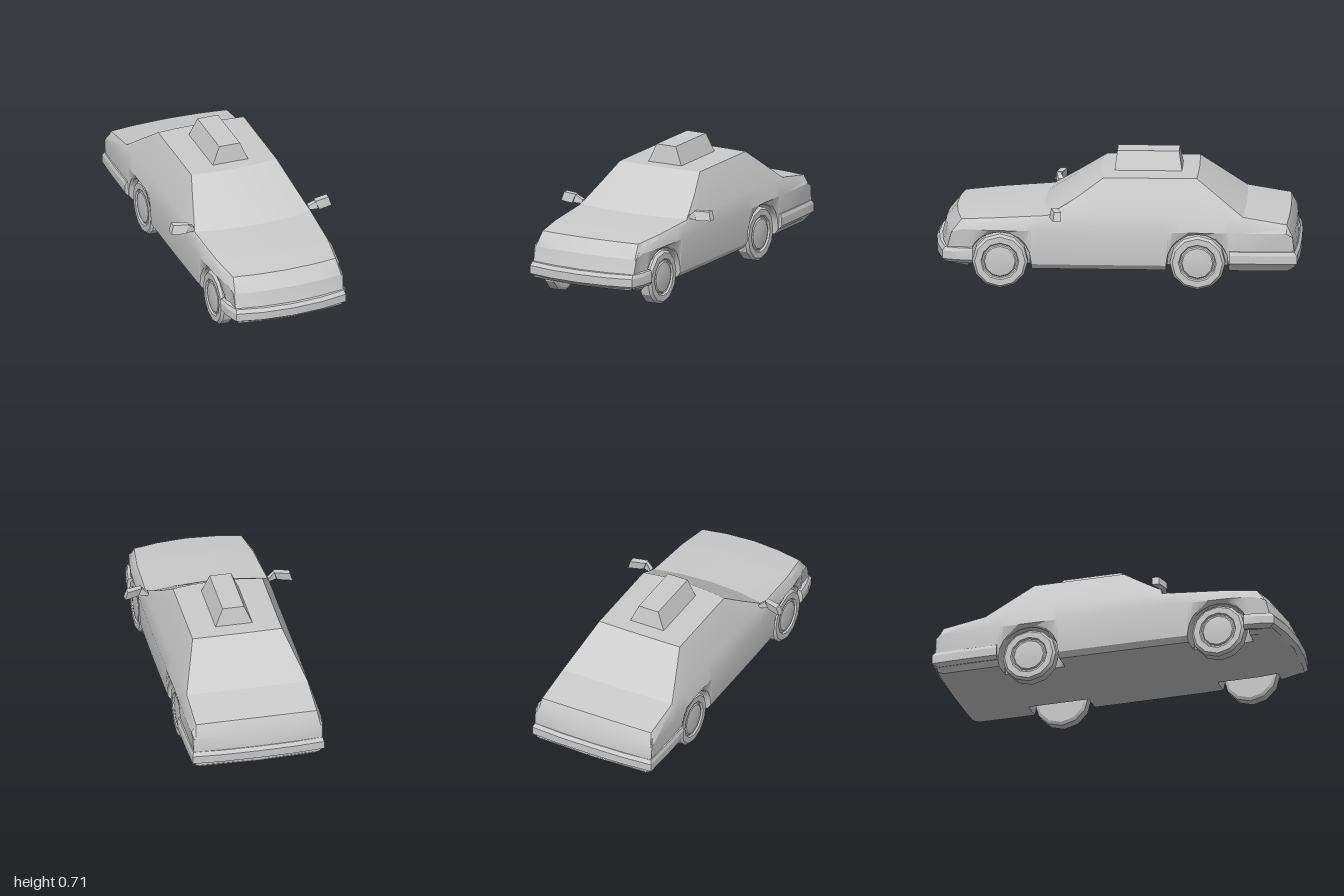
import * as THREE from 'three';
import { toCreasedNormals } from 'three/addons/utils/BufferGeometryUtils.js';

const material = new THREE.MeshStandardMaterial({ color: 0xcccccc });

// Skin a list of equal rings (each counter-clockwise seen from the first one) and cap both ends.
function loft(rings, crease = 0.45) {
  const n = rings[0].length, pos = rings.flat(2), index = [];
  const point = (i) => new THREE.Vector3().fromArray(pos, i * 3);
  const tri = (a, b, c) => {
    const A = point(a), u = point(b).sub(A), v = point(c).sub(A);
    if (u.cross(v).length() > 1e-8) index.push(a, b, c);
  };
  for (let i = 0; i < rings.length - 1; i++) {
    for (let j = 0; j < n; j++) {
      const a = i * n + j, b = i * n + (j + 1) % n;
      tri(a, a + n, b + n);
      tri(a, b + n, b);
    }
  }
  const last = (rings.length - 1) * n;
  for (let j = 1; j < n - 1; j++) {
    tri(0, j, j + 1);
    tri(last, last + j + 1, last + j);
  }
  const g = new THREE.BufferGeometry();
  g.setAttribute('position', new THREE.Float32BufferAttribute(pos, 3));
  g.setIndex(index);
  return toCreasedNormals(g, crease);
}

function part(name, geometry, parent) {
  const mesh = new THREE.Mesh(geometry, material);
  mesh.name = name;
  parent.add(mesh);
  return mesh;
}

const AXLES = [0.64, -0.44], AXLE_Y = 0.155, ARCH = 0.17;

// z, top y, top edge x, top edge y, shoulder x, shoulder y, widest x, floor y
const KEYS = [
  [0.975, 0.2, 0.305, 0.2, 0.31, 0.2, 0.315, 0.14],
  [0.965, 0.23, 0.308, 0.23, 0.31, 0.23, 0.315, 0.135],
  [0.945, 0.31, 0.31, 0.305, 0.315, 0.3, 0.32, 0.13],
  [0.885, 0.385, 0.3, 0.38, 0.312, 0.355, 0.325, 0.12],
  [0.7, 0.402, 0.325, 0.395, 0.337, 0.375, 0.352, 0.11],
  [0.405, 0.415, 0.338, 0.415, 0.345, 0.4, 0.362, 0.11],
  [0.25, 0.517, 0.294, 0.51, 0.343, 0.415, 0.364, 0.11],
  [0.1, 0.61, 0.25, 0.607, 0.341, 0.42, 0.365, 0.11],
  [-0.44, 0.61, 0.25, 0.607, 0.342, 0.42, 0.365, 0.11],
  [-0.7, 0.42, 0.338, 0.415, 0.346, 0.4, 0.366, 0.11],
  [-0.94, 0.383, 0.338, 0.375, 0.348, 0.355, 0.364, 0.11],
  [-0.975, 0.31, 0.345, 0.305, 0.352, 0.3, 0.362, 0.125],
  [-0.985, 0.2, 0.35, 0.2, 0.355, 0.2, 0.36, 0.14],
];

function keyAt(z) {
  let i = 0;
  while (i < KEYS.length - 2 && z < KEYS[i + 1][0]) i++;
  const t = (z - KEYS[i][0]) / (KEYS[i + 1][0] - KEYS[i][0]);
  return KEYS[i].map((v, k) => THREE.MathUtils.lerp(v, KEYS[i + 1][k], t));
}

// Height of a wheel arch at z, or 0 away from the wheels
function archAt(z) {
  for (const c of AXLES) {
    const d = Math.abs(z - c);
    if (d <= ARCH + 1e-6) return AXLE_Y + Math.sqrt(Math.max(0, ARCH * ARCH - d * d));
  }
  return 0;
}

function bodySection(z) {
  const [, top, ex, ey, sx, sy, wide, floor] = keyAt(z);
  const arch = archAt(z);
  const lip = arch ? arch - 0.01 : floor;
  const half = [
    [0, floor], [0.22, floor],
    [0.25, lip], [wide - (arch ? 0.022 : 0.035), lip],
    [wide - 0.012, arch || Math.max(0.14, floor)],
    [wide, Math.min(0.33, top)],
    [sx, sy], [ex, ey], [ex * 0.55, top - (top - ey) * 0.3], [0, top],
  ];
  // Ends and glass bow outwards in plan
  const bow = z > 0 ? 0.38 : -0.1;
  const right = half.map(([x, y], i) =>
    [x, y, i > 6 || z > 0.82 || z < -0.9 ? z - bow * x * x : z]);
  const left = right.slice(1, -1).reverse().map(([x, y, d]) => [-x, y, d]);
  return [...right, ...left];
}

function bodyGeometry() {
  const zs = KEYS.map((k) => k[0]);
  for (const c of AXLES) {
    zs.push(c + ARCH + 0.002, c - ARCH - 0.002);
    for (let i = 0; i <= 10; i++) zs.push(c + ARCH * Math.cos((i / 10) * Math.PI));
  }
  const stations = [...new Set(zs)].sort((a, b) => b - a);
  return loft(stations.map(bodySection), 0.4);
}

// Wrap-around bumper from half a plan path [x, z], centre first
function bumperGeometry(path) {
  const s = Math.sign(path[0][1]);
  const end = Math.abs(path[path.length - 1][1]);
  const mirrored = path.slice(1).map(([x, z]) => [-x, z]);
  const whole = [...path.slice().reverse(), ...mirrored];
  if (s < 0) whole.reverse();
  const at = (x, z, inset, y) =>
    [x * (1 - inset * 1.4), y, s * Math.max(Math.abs(z) - inset, end)];
  return loft(whole.map(([x, z]) => [
    at(x, z, 0.06, 0.228), at(x, z, 0.014, 0.225), at(x, z, 0, 0.205),
    at(x, z, 0, 0.16), at(x, z, 0.03, 0.14), at(x, z, 0.06, 0.14),
  ]), 0.35);
}

// Tyre and hubcap turned about the x axis, outer face towards +x
function turned(profile, sides) {
  const pts = profile.map(([r, x]) => new THREE.Vector2(r, x));
  const g = new THREE.LatheGeometry(pts, sides);
  g.rotateZ(-Math.PI / 2);
  return toCreasedNormals(g, 0.4);
}

export function createModel() {
  const car = new THREE.Group();
  car.name = 'car';
  part('body', bodyGeometry(), car);
  part('frontBumper', bumperGeometry(
    [[0, 0.997], [0.17, 0.986], [0.32, 0.955], [0.343, 0.88], [0.352, 0.79]]), car);
  part('rearBumper', bumperGeometry(
    [[0, -1], [0.2, -0.997], [0.368, -0.985], [0.374, -0.8], [0.374, -0.615]]), car);

  // Roof sign: tapered box
  const signRing = (zBase, zTop) => [
    [-0.105, 0.605, zBase], [0.105, 0.605, zBase], [0.06, 0.71, zTop], [-0.06, 0.71, zTop]];
  part('roofSign', loft([signRing(0.022, 0.008), signRing(-0.348, -0.33)]), car);

  // Wheels
  const tyre = turned([[0, 0.265], [0.135, 0.265], [0.152, 0.275], [0.152, 0.328],
    [0.138, 0.342], [0.104, 0.342], [0.098, 0.332], [0, 0.332]], 12);
  const hub = turned([[0.092, 0.33], [0.084, 0.339], [0.05, 0.343], [0, 0.346]], 12);

  // Door mirrors: arm and angled head
  const arm = loft([
    [[0.335, 0.415, 0.35], [0.385, 0.418, 0.36], [0.372, 0.462, 0.355], [0.335, 0.435, 0.345]],
    [[0.335, 0.415, 0.32], [0.385, 0.418, 0.335], [0.372, 0.462, 0.335], [0.335, 0.435, 0.315]],
  ]);
  const head = loft([
    [[0.388, 0.416, 0.368], [0.468, 0.416, 0.345], [0.454, 0.465, 0.338], [0.37, 0.465, 0.358]],
    [[0.388, 0.416, 0.33], [0.468, 0.416, 0.303], [0.454, 0.465, 0.3], [0.37, 0.465, 0.325]],
  ]);

  for (const [side, sx] of [['left', 1], ['right', -1]]) {
    AXLES.forEach((z, i) => {
      const wheel = new THREE.Group();
      wheel.name = side + (i ? 'RearWheel' : 'FrontWheel');
      part('tyre', tyre, wheel);
      part('hubcap', hub, wheel);
      wheel.position.set(0, 0.152, z);
      wheel.scale.x = sx;
      car.add(wheel);
    });
    const mirror = new THREE.Group();
    mirror.name = side + 'Mirror';
    part('mirrorArm', arm, mirror);
    part('mirrorHead', head, mirror);
    mirror.scale.x = sx;
    car.add(mirror);
  }
  return car;
}
